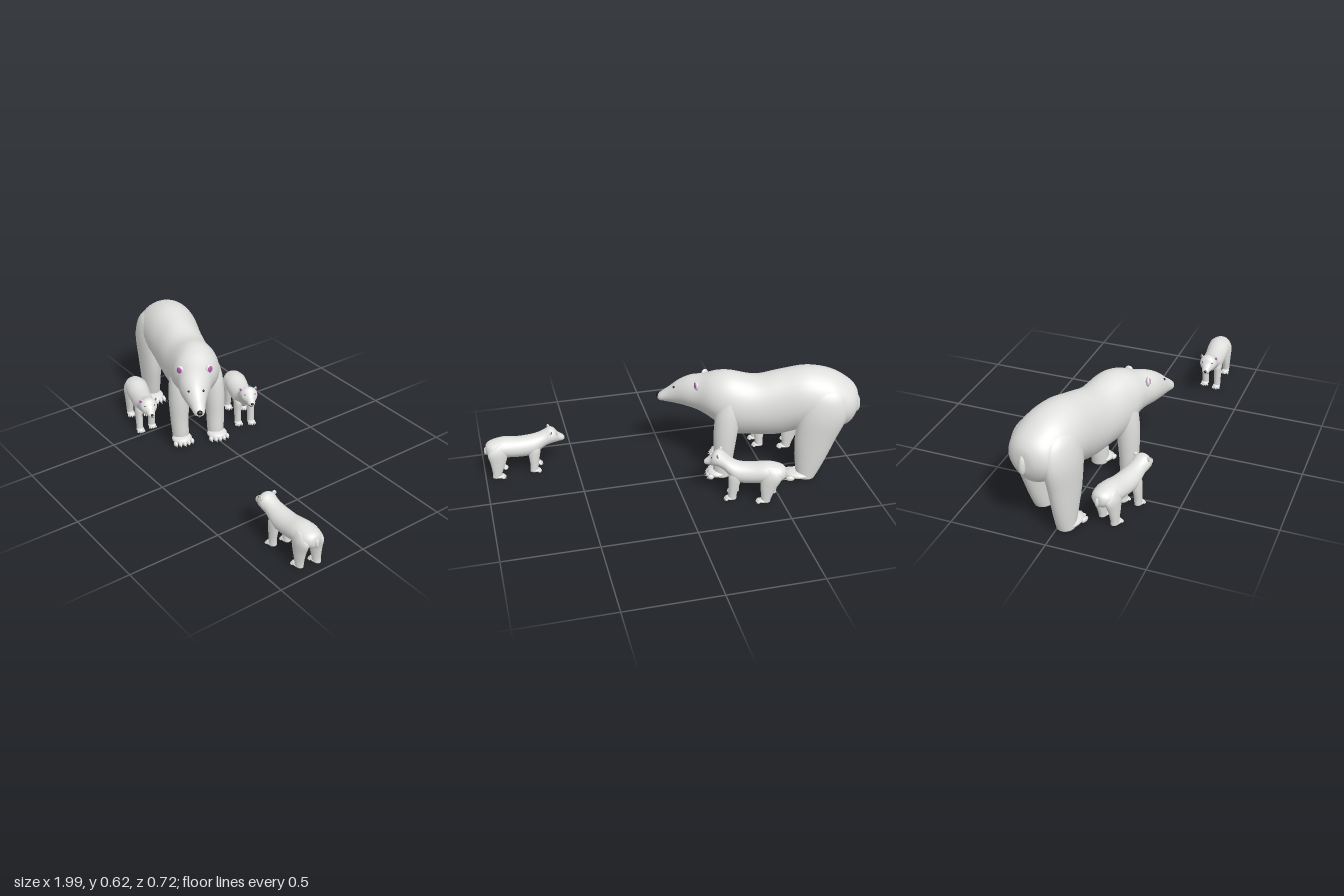
import * as THREE from 'three';

const mat = (name, color) => Object.assign(new THREE.MeshStandardMaterial({ color }), { name });

// Smooth interpolation through rows of numbers
function sample(rows, v) {
  const n = rows.length - 1, k = Math.min(Math.floor(v), n - 1), f = v - k;
  const r = i => rows[Math.max(0, Math.min(n, i))];
  const [a, b, c, d] = [r(k - 1), r(k), r(k + 1), r(k + 2)];
  return b.map((_, i) => 0.5 * (2 * b[i] + (c[i] - a[i]) * f
    + (2 * a[i] - 5 * b[i] + 4 * c[i] - d[i]) * f * f
    + (3 * b[i] - a[i] - 3 * c[i] + d[i]) * f * f * f));
}

// Skin over rings given by point(v, angle), closed at both ends
function skin(point, count, sub, sides) {
  const pos = [], idx = [], rings = (count - 1) * sub;
  const mid = [new THREE.Vector3(), new THREE.Vector3()];
  for (let i = 0; i <= rings; i++)
    for (let j = 0; j < sides; j++) {
      const p = point(i / sub, (j / sides) * Math.PI * 2);
      pos.push(p.x, p.y, p.z);
      if (i === 0) mid[0].addScaledVector(p, 1 / sides);
      if (i === rings) mid[1].addScaledVector(p, 1 / sides);
      const a = i * sides + j, b = i * sides + (j + 1) % sides;
      if (i < rings) idx.push(a, a + sides, b, b, a + sides, b + sides);
    }
  const c0 = pos.length / 3, last = rings * sides;
  pos.push(...mid[0].toArray(), ...mid[1].toArray());
  for (let j = 0; j < sides; j++) {
    const k = (j + 1) % sides;
    idx.push(c0, j, k, c0 + 1, last + k, last + j);
  }
  const g = new THREE.BufferGeometry();
  g.setAttribute('position', new THREE.Float32BufferAttribute(pos, 3));
  g.setIndex(idx);
  g.computeVertexNormals();
  return g;
}

// Spine rows: x, y, z, half width, half height, yaw. Leg rows: y, x, half length, z, half width
const ADULT = {
  spine: [
    [-.425, .43, 0, .015, .015, 0], [-.415, .43, 0, .07, .07, 0], [-.37, .425, 0, .125, .125, 0],
    [-.27, .435, 0, .155, .17, 0], [-.14, .445, 0, .152, .18, 0], [0, .413, 0, .14, .187, 0],
    [.13, .397, 0, .138, .173, 0], [.26, .41, .004, .138, .179, .04], [.34, .44, .022, .124, .138, .15],
    [.41, .44, .052, .096, .107, .28], [.48, .435, .077, .08, .09, .28], [.54, .42, .092, .058, .07, .28],
    [.59, .4, .1, .04, .046, .28], [.632, .384, .107, .029, .028, .28], [.648, .381, .11, .015, .015, .28]],
  hind: [
    [.012, -.25, .05, .106, .045], [.05, -.25, .062, .106, .048], [.12, -.25, .08, .107, .053],
    [.25, -.25, .108, .108, .061], [.4, -.26, .128, .108, .066], [.51, -.25, .105, .092, .056], [.57, -.23, .03, .07, .02]],
  front: [
    [.012, .285, .045, .1, .044], [.06, .285, .05, .1, .046], [.15, .28, .055, .102, .05],
    [.28, .275, .064, .099, .057], [.4, .265, .064, .089, .056], [.5, .25, .035, .072, .04], [.53, .245, .01, .06, .015]],
  hindFoot: .125, frontFoot: .09, footHeight: .024, footWidth: .056,
  ear: [9.1, .72, .025], eye: [11.2, .8, .006], mouth: 12.4, nose: .72, tail: [-.42, .415, .02, .053]
};

const CUB = {
  spine: [
    [-.214, .165, 0, .008, .008, 0], [-.206, .168, 0, .034, .032, 0], [-.175, .168, 0, .057, .048, 0],
    [-.11, .168, 0, .063, .058, 0], [-.03, .158, 0, .059, .058, 0], [.04, .16, 0, .057, .058, 0],
    [.08, .175, 0, .05, .05, 0], [.11, .19, 0, .046, .046, 0], [.14, .202, 0, .049, .047, 0],
    [.165, .2, 0, .043, .042, 0], [.185, .187, 0, .027, .028, 0], [.208, .179, 0, .019, .018, 0],
    [.219, .177, 0, .01, .01, 0]],
  hind: [
    [.012, -.14, .025, .044, .019], [.04, -.14, .027, .044, .02], [.1, -.14, .042, .044, .023],
    [.16, -.145, .055, .042, .026], [.2, -.135, .035, .034, .02], [.212, -.12, .01, .028, .01]],
  front: [
    [.012, .055, .022, .037, .019], [.05, .055, .023, .037, .019], [.1, .052, .029, .037, .021],
    [.15, .05, .034, .034, .023], [.19, .045, .02, .028, .016]],
  hindFoot: .05, frontFoot: .042, footHeight: .011, footWidth: .022,
  ear: [8, .7, .0122], eye: [9.45, .7, .0032], mouth: 10.6, nose: .6, tail: [-.213, .163, .01, .024]
};

export function createModel() {
  const fur = mat('fur', 0xe0e0de), pink = mat('innerEar', 0xb85fae), dark = mat('darkSkin', 0x1c1c1c);
  const ball = new THREE.SphereGeometry(1, 20, 14);
  const add = (parent, name, geo, material) => {
    const m = new THREE.Mesh(geo, material);
    m.name = name;
    parent.add(m);
    return m;
  };
  const blob = (parent, name, material, p, s) => {
    const m = add(parent, name, ball, material);
    m.position.set(...p);
    m.scale.set(...s);
    return m;
  };

  // Legs with a padded foot, toes and claws
  function leg(bear, name, rows, side, step, length, d) {
    const g = new THREE.Group();
    g.name = name;
    bear.add(g);
    const top = rows[rows.length - 1][0];
    add(g, name + 'Limb', skin((v, t) => {
      const [y, x, a, z, b] = sample(rows, v);
      return new THREE.Vector3(x + step * (1 - y / top) + Math.cos(t) * a, y, side * z + Math.sin(t) * b);
    }, rows.length, 5, 24), fur);
    const x = rows[0][1] + step, z = side * rows[0][3], h = d.footHeight, w = d.footWidth;
    blob(g, 'foot', fur, [x + length * .28, h + .005, z], [length * .62, h, w]);
    for (let i = -2; i <= 2; i++) {
      const tx = x + length * (.8 - .035 * i * i), tz = z + i * w * .42;
      blob(g, 'toe', fur, [tx, h * .7 + .003, tz], [length * .19, h * .6, w * .21]);
      const claw = add(g, 'claw', new THREE.ConeGeometry(w * .1, length * .18, 8), fur);
      claw.position.set(tx + length * .2, h * .5 + .002, tz);
      claw.rotation.z = -Math.PI / 2 - .4;
    }
  }

  function makeBear(name, d, x, z, heading, steps, lift = 0, turn = 0) {
    const bear = new THREE.Group();
    bear.name = name;
    bear.position.set(x, 0, z);
    bear.rotation.y = -heading * Math.PI / 180;

    // Raise and turn the neck and head when asked
    const spine = d.spine.map(([px, y, pz, w, h, yaw]) => {
      const k = THREE.MathUtils.smoothstep(px, .04, .14);
      return [px, y + lift * k, pz, w, h, yaw + turn * k];
    });
    // Rings narrow a little toward the belly
    const surface = (v, t, out = 0) => {
      const [px, y, pz, w, h, yaw] = sample(spine, v);
      const c = Math.cos(t) * (Math.max(w, .002) + out) * (1 - .15 * Math.min(0, Math.sin(t)) ** 2);
      return new THREE.Vector3(px - Math.sin(yaw) * c, y + Math.sin(t) * (Math.max(h, .002) + out), pz + Math.cos(yaw) * c);
    };
    add(bear, 'bodyAndHead', skin(surface, spine.length, 6, 36), fur);

    // Legs
    leg(bear, 'rightHindLeg', d.hind, 1, steps[0], d.hindFoot, d);
    leg(bear, 'leftHindLeg', d.hind, -1, steps[1], d.hindFoot, d);
    leg(bear, 'rightFrontLeg', d.front, 1, steps[2], d.frontFoot, d);
    leg(bear, 'leftFrontLeg', d.front, -1, steps[3], d.frontFoot, d);

    // Tail
    const [tx, ty, tw, th] = d.tail;
    blob(bear, 'tail', fur, [tx, ty, 0], [tw, th, tw]).rotation.z = -.1;

    // Ears and eyes
    const [ev, ea, er] = d.ear, [yv, ya, yr] = d.eye;
    const yaw = sample(spine, ev)[5];
    for (const s of [1, -1]) {
      const angle = a => (s > 0 ? a : Math.PI - a);
      const ear = new THREE.Group();
      ear.name = s > 0 ? 'rightEar' : 'leftEar';
      ear.position.copy(surface(ev, angle(ea), er * .3));
      ear.rotation.y = -yaw - s * .6;
      bear.add(ear);
      blob(ear, 'earShell', fur, [0, 0, 0], [er * .45, er, er * .9]);
      blob(ear, 'earInside', pink, [er * .28, er * .1, 0], [er * .24, er * .68, er * .62]);
      blob(bear, 'eye', dark, surface(yv, angle(ya)).toArray(), [yr, yr, yr]);
    }

    // Nose and mouth
    const end = spine.length - 1, tip = sample(spine, end - .35), nr = tip[4], ns = nr * d.nose;
    blob(bear, 'nose', dark, [tip[0] + (nr - ns) * .5, tip[1] + nr * .4, tip[2]], [ns, ns, ns * 1.1]);
    const line = [], reach = end - .15 - d.mouth;
    for (let i = 0; i <= 4; i++) line.push(surface(d.mouth + reach * i / 4, -.8));
    for (let i = 4; i >= 0; i--) line.push(surface(d.mouth + reach * i / 4, Math.PI + .8));
    add(bear, 'mouth', new THREE.TubeGeometry(new THREE.CatmullRomCurve3(line), 40, yr * .35, 6), dark);
    return bear;
  }

  const family = new THREE.Group();
  family.name = 'bearFamily';
  family.add(
    makeBear('motherBear', ADULT, -.57, 0, 15, [0, .09, -.01, .01]),
    makeBear('nearCub', CUB, -.6, .245, 17, [.01, .03, .01, -.015]),
    makeBear('farCub', CUB, -.322, -.246, 20, [0, .03, 0, .01], .034, .12),
    makeBear('strayCub', CUB, .773, .292, 177.5, [-.03, -.005, -.02, 0]));
  return family;
}
